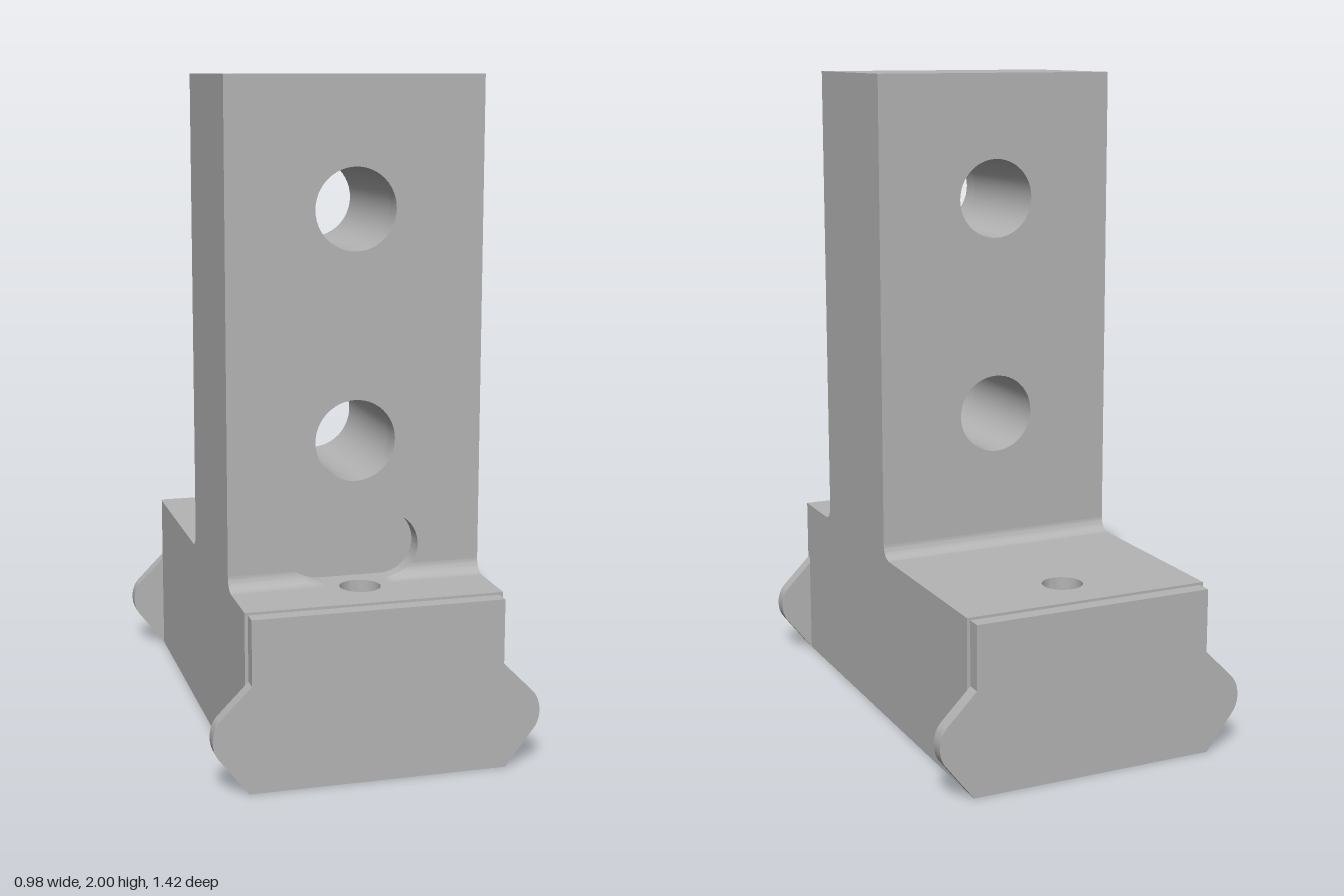
import * as THREE from 'three';
import { toCreasedNormals } from 'three/addons/utils/BufferGeometryUtils.js';

const W = 0.385, TOP = 0.52, H = 2;          // half width, base top, overall height
const BACK = -0.04, FRONT = 0.445;           // column faces
const LEN = 0.665, END = 0.71;               // base half length, outer face of end plates
const SLOT = { x: 0.095, y: 0.62, r: 0.1, depth: 0.06 };
const FILLET = 0.042, POCKET = 0.18;

export function createModel() {
  const group = new THREE.Group();
  const grey = new THREE.MeshStandardMaterial({ color: 0xb4b4b4 });
  grey.name = 'grey';

  const add = (name, geometry) => {
    const mesh = new THREE.Mesh(toCreasedNormals(geometry, 0.5), grey);
    mesh.name = name;
    group.add(mesh);
  };
  const extrude = (shape, depth) =>
    new THREE.ExtrudeGeometry(shape, { depth, bevelEnabled: false, curveSegments: 24 });
  const circle = (x, y, r) => new THREE.Path().absarc(x, y, r, 0, Math.PI * 2, true);
  const polygon = (pts) => new THREE.Shape(pts.map(([x, y]) => new THREE.Vector2(x, y)));

  // Column with two cross holes, in two layers so that the front one carries the slot recess
  const columnShape = (slotted) => {
    const s = new THREE.Shape().moveTo(-W, TOP);
    if (slotted) {
      s.lineTo(-SLOT.x, TOP);
      s.absarc(-SLOT.x, SLOT.y, SLOT.r, -Math.PI / 2, -Math.PI * 1.5, true);
      s.absarc(SLOT.x, SLOT.y, SLOT.r, Math.PI / 2, -Math.PI / 2, true);
    }
    s.lineTo(W, TOP).lineTo(W, H).lineTo(-W, H);
    s.holes.push(circle(0, 0.945, 0.121), circle(0, 1.62, 0.121));
    return s;
  };
  const recess = FRONT - SLOT.depth;
  add('columnBody', extrude(columnShape(false), recess - BACK).translate(0, 0, BACK));
  add('columnSlottedFace', extrude(columnShape(true), SLOT.depth).translate(0, 0, recess));

  // Base deck with two vertical screw holes
  const deck = polygon([[-W, -LEN], [W, -LEN], [W, LEN], [-W, LEN]]);
  deck.holes.push(circle(0, 0.5, 0.061), circle(0, -0.5, 0.061));
  add('baseDeck', extrude(deck, TOP - POCKET).rotateX(-Math.PI / 2).translate(0, POCKET, 0));

  // Side rails leave an open channel underneath
  const railWidth = W - 0.195;
  for (const side of [-1, 1]) {
    add('baseRail', new THREE.BoxGeometry(railWidth, POCKET, LEN * 2)
      .translate(side * (W - railWidth / 2), POCKET / 2, 0));
  }

  // Concave fillets; the ends follow rules x0(y) and x1(y)
  const fillet = (name, wallZ, dir, x0, x1) => {
    const arc = [], wall = [];
    for (let i = 0; i <= 10; i++) {
      const a = (i / 10) * Math.PI / 2;
      const y = TOP + FILLET * (1 - Math.cos(a));
      arc.push([-(wallZ + dir * FILLET * (1 - Math.sin(a))), y]);
      if (i < 10) wall.unshift([-wallZ, y]);
    }
    const g = extrude(polygon([...arc, ...wall]), 1).rotateY(Math.PI / 2);
    const p = g.attributes.position;
    for (let i = 0; i < p.count; i++) {
      p.setX(i, (p.getX(i) < 0.5 ? x0 : x1)(p.getY(i)));
    }
    add(name, g);
  };
  const slotEdge = (y) =>
    SLOT.x + Math.sqrt(Math.max(0, SLOT.r ** 2 - (SLOT.y - y) ** 2));
  fillet('backFillet', BACK, -1, () => -W, () => W);
  fillet('frontFilletLeft', FRONT, 1, slotEdge, () => W);
  fillet('frontFilletRight', FRONT, 1, () => -W, (y) => -slotEdge(y));

  // End plates with rounded side lugs
  const plate = new THREE.Shape().moveTo(-0.385, 0).lineTo(0.385, 0).lineTo(0.472, 0.112);
  plate.bezierCurveTo(0.495, 0.142, 0.495, 0.195, 0.466, 0.226);
  plate.lineTo(0.375, 0.318).lineTo(0.375, 0.512).lineTo(-0.375, 0.512).lineTo(-0.375, 0.318);
  plate.lineTo(-0.466, 0.226).bezierCurveTo(-0.495, 0.195, -0.495, 0.142, -0.472, 0.112);
  plate.lineTo(-0.385, 0);
  add('frontEndPlate', extrude(plate, END - LEN).translate(0, 0, LEN));
  add('backEndPlate', extrude(plate, END - LEN).translate(0, 0, -END));

  return group;
}
